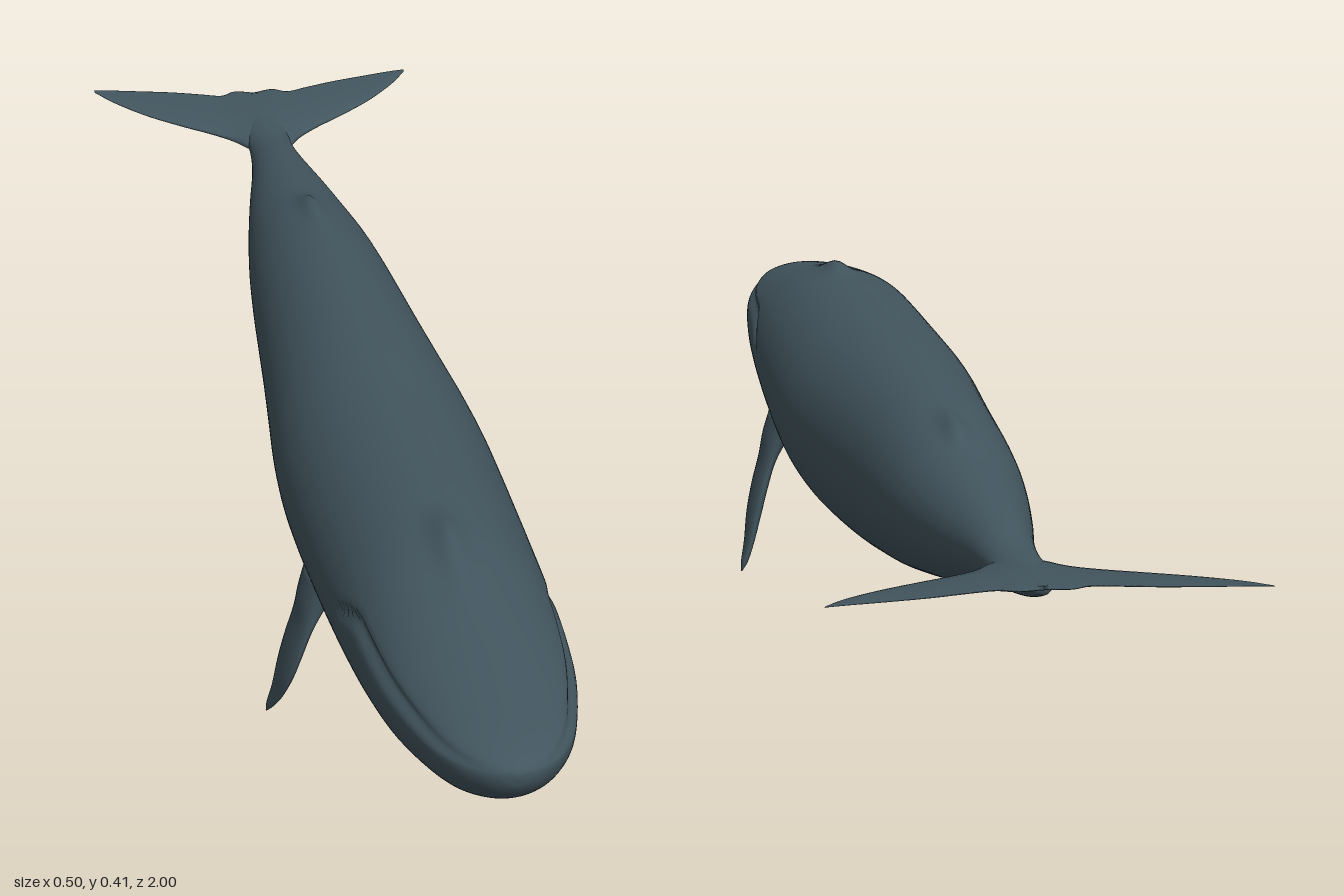
import * as THREE from 'three';

const skin = new THREE.MeshStandardMaterial({ color: 0x42555e });
skin.name = 'slateSkin';

// Skin a list of equal-length rings into a closed, smooth surface
function loft(rings) {
  const n = rings[0].length, pos = [], idx = [];
  rings.forEach((r) => r.forEach((p) => pos.push(p.x, p.y, p.z)));
  for (let i = 0; i < rings.length - 1; i++) {
    for (let j = 0; j < n; j++) {
      const a = i * n + j, b = i * n + (j + 1) % n;
      idx.push(a, b, b + n, a, b + n, a + n);
    }
  }
  [0, rings.length - 1].forEach((i, end) => {
    const c = rings[i].reduce((s, p) => s.add(p), new THREE.Vector3()).divideScalar(n);
    const k = pos.length / 3;
    pos.push(c.x, c.y, c.z);
    for (let j = 0; j < n; j++) {
      const a = i * n + j, b = i * n + (j + 1) % n;
      idx.push(k, end ? a : b, end ? b : a);
    }
  });
  const g = new THREE.BufferGeometry();
  g.setAttribute('position', new THREE.Float32BufferAttribute(pos, 3));
  g.setIndex(idx);
  g.computeVertexNormals();
  return g;
}

// Smoothly resample rows of six numbers
function resample(rows, steps) {
  const a = new THREE.CatmullRomCurve3(rows.map((r) => new THREE.Vector3(r[0], r[1], r[2])), false, 'catmullrom');
  const b = new THREE.CatmullRomCurve3(rows.map((r) => new THREE.Vector3(r[3], r[4], r[5] || 0)), false, 'catmullrom');
  return Array.from({ length: steps + 1 }, (_, i) => [...a.getPoint(i / steps).toArray(), ...b.getPoint(i / steps).toArray()]);
}

const ring = (n, fn) => Array.from({ length: n }, (_, j) => fn((j / n) * Math.PI * 2));
const bell = (v, s) => Math.exp(-((v / s) ** 2));

// Body: z, half width, top, height of widest line, bottom
const bodyRows = [
  [-0.95, 0.008, 0.334, 0.328, 0.322], [-0.9, 0.022, 0.333, 0.32, 0.306],
  [-0.84, 0.032, 0.332, 0.314, 0.294], [-0.77, 0.034, 0.335, 0.309, 0.28],
  [-0.7, 0.042, 0.345, 0.305, 0.262], [-0.6, 0.061, 0.357, 0.297, 0.235],
  [-0.5, 0.078, 0.368, 0.29, 0.21], [-0.4, 0.092, 0.382, 0.283, 0.188],
  [-0.3, 0.102, 0.391, 0.276, 0.167], [-0.2, 0.11, 0.395, 0.27, 0.15],
  [-0.1, 0.118, 0.397, 0.265, 0.135], [0, 0.127, 0.398, 0.26, 0.125],
  [0.1, 0.136, 0.398, 0.256, 0.12], [0.2, 0.141, 0.397, 0.255, 0.122],
  [0.3, 0.141, 0.397, 0.256, 0.131], [0.4, 0.139, 0.397, 0.26, 0.145],
  [0.5, 0.136, 0.397, 0.266, 0.158], [0.6, 0.132, 0.394, 0.275, 0.169],
  [0.7, 0.126, 0.381, 0.287, 0.182], [0.8, 0.114, 0.366, 0.298, 0.2],
  [0.9, 0.09, 0.35, 0.307, 0.23], [0.95, 0.068, 0.341, 0.312, 0.254],
  [0.98, 0.044, 0.333, 0.315, 0.277], [0.995, 0.022, 0.326, 0.316, 0.296],
  [1, 0.004, 0.319, 0.316, 0.311],
];

function bodyRing([z, w, top, mid, bottom]) {
  // Mouth line runs level along the jaw, then drops behind the corner
  const drop = THREE.MathUtils.smoothstep(0.66 - z, 0, 0.13);
  const mouthY = 0.321 - 0.035 * drop;
  const mouthDepth = 0.06 * THREE.MathUtils.smoothstep(z, 0.53, 0.62);
  return ring(128, (t) => {
    const s = Math.sin(t);
    let x = w * Math.cos(t), y = mid + s * (s > 0 ? top - mid : mid - bottom);
    const cut = 1 - mouthDepth * bell(y - mouthY, 0.006);
    x *= cut;
    // Blowhole ridge and low dorsal fin
    if (s > 0) {
      y += 0.013 * bell(x, 0.018) * bell(z - 0.6, z > 0.6 ? 0.09 : 0.05);
      y += 0.011 * bell(x, 0.014) * bell(z + 0.41, z > -0.41 ? 0.07 : 0.04);
    }
    return new THREE.Vector3(x, y, z);
  });
}

// Flipper: y, centre x, half thickness, centre z, half chord
const flipperRows = [
  [0.23, 0.112, 0.024, 0.366, 0.052], [0.195, 0.127, 0.019, 0.368, 0.045],
  [0.16, 0.14, 0.012, 0.368, 0.042], [0.12, 0.152, 0.011, 0.364, 0.04],
  [0.08, 0.162, 0.01, 0.357, 0.034], [0.04, 0.171, 0.007, 0.345, 0.022],
  [0.014, 0.179, 0.005, 0.335, 0.011], [0, 0.184, 0.001, 0.33, 0.002],
];

// Fluke: x, leading z, trailing z, leading y, trailing y, half thickness
const flukeRows = [
  [0, -0.76, -0.957, 0.309, 0.331, 0.016], [0.03, -0.785, -0.964, 0.31, 0.332, 0.013],
  [0.053, -0.815, -0.953, 0.312, 0.331, 0.01], [0.085, -0.842, -0.962, 0.315, 0.332, 0.008],
  [0.13, -0.873, -0.976, 0.319, 0.333, 0.006], [0.18, -0.912, -0.987, 0.324, 0.334, 0.004],
  [0.225, -0.958, -0.996, 0.33, 0.335, 0.002], [0.251, -0.995, -1, 0.334, 0.335, 0.0008],
];

function flukeRing([x, zl, zt, yl, yt, h]) {
  return ring(24, (t) => {
    const k = (1 + Math.sin(t)) / 2; // 0 trailing, 1 leading
    const thick = h * Math.cos(t) * (0.35 + 0.75 * k);
    return new THREE.Vector3(x, yt + (yl - yt) * k + thick, zt + (zl - zt) * k);
  });
}

// Mirror rings across x = 0, keeping faces outward
const mirror = (rings) => rings.map((r) => r.map((p) => new THREE.Vector3(-p.x, p.y, p.z)).reverse());

export function createModel() {
  const model = new THREE.Group();
  model.name = 'whale';
  const add = (name, rings) => {
    const mesh = new THREE.Mesh(loft(rings), skin);
    mesh.name = name;
    model.add(mesh);
  };

  add('body', resample(bodyRows, 192).map(bodyRing));

  const flipper = resample(flipperRows, 35).map(([y, x, t, z, c]) =>
    ring(24, (a) => new THREE.Vector3(x + t * Math.cos(a), y, z + c * Math.sin(a))));
  add('leftFlipper', flipper);
  add('rightFlipper', mirror(flipper));

  const fluke = resample(flukeRows, 35).map(flukeRing);
  add('leftFluke', fluke);
  add('rightFluke', mirror(fluke));
  return model;
}
